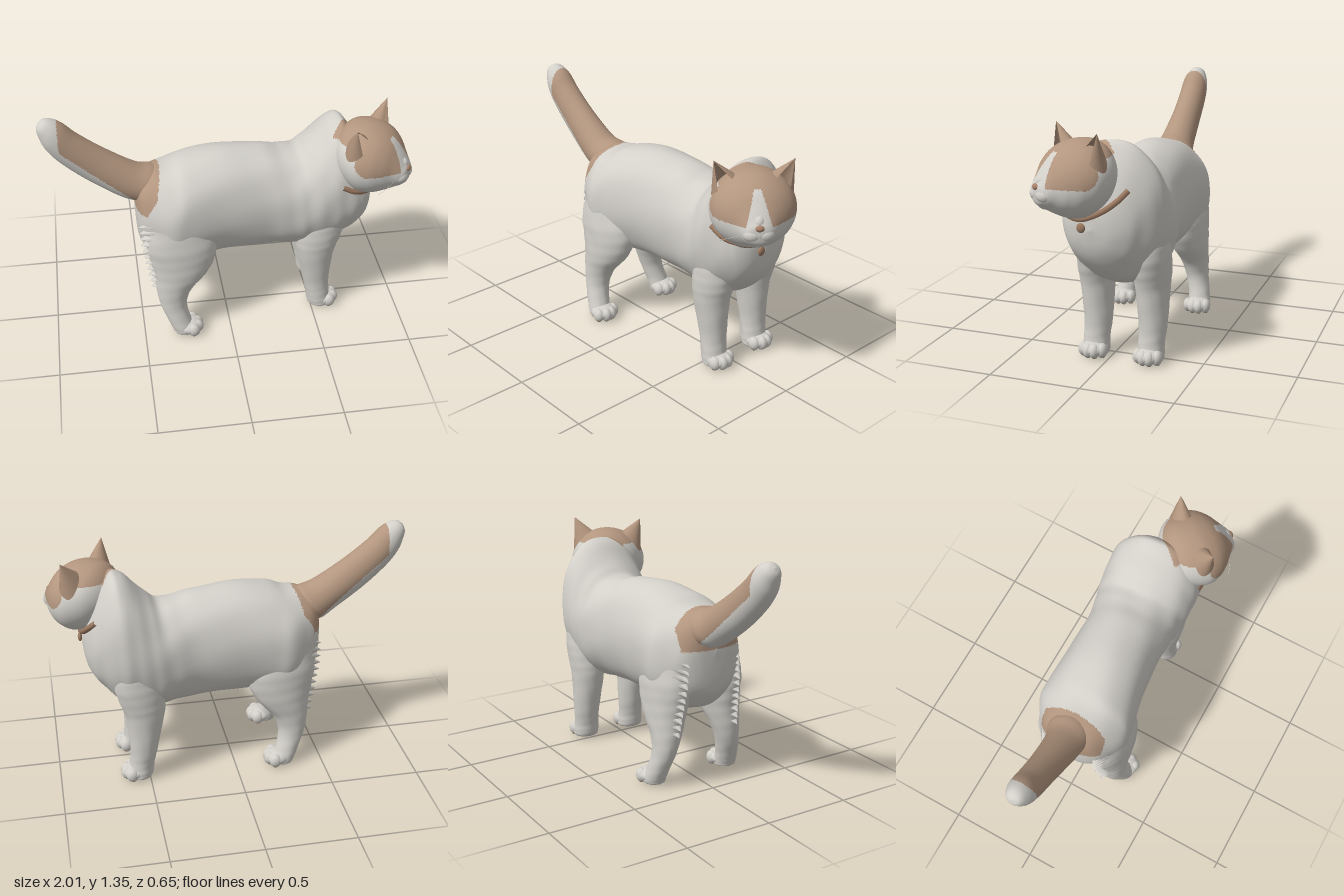
import * as THREE from 'three';

const mat = (name, color, side = THREE.FrontSide) => {
  const m = new THREE.MeshStandardMaterial({ color, side });
  m.name = name;
  return m;
};
const V = (x, y, z) => new THREE.Vector3(x, y, z);

// Smooth skin over elliptical sections [cx, cy, cz, ra, rb]; a x b is the direction of travel.
// patch(x, y, z) tells which faces take the second material.
function loft(stations, a, b, { rows = 90, cols = 72, power = 1, patch = null, bump = 0 } = {}) {
  const centres = new THREE.CatmullRomCurve3(stations.map(s => V(s[0], s[1], s[2])), false, 'catmullrom');
  const radii = new THREE.CatmullRomCurve3(stations.map(s => V(s[3], s[4], 0)), false, 'catmullrom');
  const pos = [], groups = [[], []];
  const bend = v => Math.sign(v) * Math.abs(v) ** power;
  for (let i = 0; i <= rows; i++) {
    const c = centres.getPoint(i / rows), r = radii.getPoint(i / rows);
    for (let j = 0; j < cols; j++) {
      const t = j / cols * Math.PI * 2;
      const k = 1 + bump * Math.sin(i / rows * 50 + 3 * t) * Math.sin(5 * t - i / rows * 25);
      const p = c.clone()
        .addScaledVector(a, Math.max(r.x, 0.0005) * bend(Math.cos(t)) * k)
        .addScaledVector(b, Math.max(r.y, 0.0005) * bend(Math.sin(t)) * k);
      pos.push(p.x, p.y, p.z);
    }
  }
  const mid = (f, k) => (pos[f[0] * 3 + k] + pos[f[1] * 3 + k] + pos[f[2] * 3 + k]) / 3;
  for (let i = 0; i < rows; i++) for (let j = 0; j < cols; j++) {
    const p = i * cols + j, q = i * cols + (j + 1) % cols;
    for (const f of [[p, q, p + cols], [q, q + cols, p + cols]]) {
      groups[patch && patch(mid(f, 0), mid(f, 1), mid(f, 2)) ? 1 : 0].push(...f);
    }
  }
  const g = new THREE.BufferGeometry();
  g.setAttribute('position', new THREE.Float32BufferAttribute(pos, 3));
  g.setIndex([...groups[0], ...groups[1]]);
  g.addGroup(0, groups[0].length, 0);
  g.addGroup(groups[0].length, groups[1].length, 1);
  g.computeVertexNormals();
  return g;
}

export function createModel() {
  const cat = new THREE.Group();
  cat.name = 'cat';
  const white = mat('white fur', 0xd3d0ca);
  const brown = mat('brown fur', 0xb3967f);
  const earBrown = mat('ear brown', 0xb0937c, THREE.DoubleSide);
  const nosePink = mat('nose and pads', 0xa88068);
  const collarBrown = mat('collar', 0x9c7a62);
  const coat = [white, brown];
  const X = V(1, 0, 0), Y = V(0, 1, 0), Z = V(0, 0, 1);

  const add = (parent, name, geo, material, x = 0, y = 0, z = 0) => {
    const m = new THREE.Mesh(geo, material);
    m.name = name;
    m.position.set(x, y, z);
    parent.add(m);
    return m;
  };
  const ball = (parent, name, material, x, y, z, rx, ry, rz) => {
    const m = add(parent, name, new THREE.SphereGeometry(1, 18, 12), material, x, y, z);
    m.scale.set(rx, ry, rz);
    return m;
  };

  // Torso and neck in one skin: x, top, bottom, back z, front z
  const torso = [
    [-0.51, 0.78, 0.78, 0, 0], [-0.5, 0.91, 0.6, -0.1, 0.1], [-0.47, 0.97, 0.52, -0.17, 0.17],
    [-0.4, 1.0, 0.45, -0.23, 0.22], [-0.3, 1.015, 0.42, -0.285, 0.265], [-0.2, 1.05, 0.43, -0.28, 0.25],
    [0, 1.07, 0.435, -0.275, 0.21], [0.2, 1.05, 0.43, -0.275, 0.19], [0.32, 1.025, 0.425, -0.295, 0.19],
    [0.4, 1.02, 0.415, -0.315, 0.195], [0.46, 1.06, 0.41, -0.325, 0.2], [0.53, 1.13, 0.42, -0.33, 0.21],
    [0.6, 1.195, 0.44, -0.328, 0.213], [0.66, 1.195, 0.475, -0.3, 0.21], [0.72, 1.11, 0.53, -0.245, 0.198],
    [0.77, 1.0, 0.59, -0.185, 0.168], [0.805, 0.88, 0.67, -0.1, 0.11], [0.82, 0.77, 0.77, 0.01, 0.01],
  ].map(([x, t, u, n, f]) => [x, (t + u) / 2, (n + f) / 2, (t - u) / 2, (f - n) / 2]);
  const rump = (x, y, z) => x < -0.365 - 0.5 * Math.max(0, 0.9 - y) - 0.8 * z * z && y > 0.8 && Math.abs(z) < 0.185;
  const nape = (x, y, z) => (x - 0.78) * 0.79 + (z - 0.08) * 0.61 > -0.165 && y > 1.145;
  add(cat, 'torso', loft(torso, Y, Z, {
    rows: 190, cols: 110, power: 0.94, bump: 0.01, patch: (x, y, z) => rump(x, y, z) || nape(x, y, z),
  }), coat);

  // Tail, white beneath and at the tip
  const tail = [
    [-0.42, 0.9, -0.01, 0.11, 0.12], [-0.47, 0.915, -0.01, 0.115, 0.117], [-0.55, 0.95, 0, 0.105, 0.1],
    [-0.71, 1.06, 0, 0.1, 0.085], [-0.84, 1.17, 0, 0.093, 0.08], [-0.91, 1.25, 0, 0.085, 0.075],
    [-0.95, 1.3, 0, 0.062, 0.058], [-0.975, 1.325, 0, 0.036, 0.036], [-0.985, 1.333, 0, 0, 0],
  ];
  add(cat, 'tail', loft(tail, V(0.6, 0.8, 0), V(0, 0, -1), {
    patch: (x, y) => x > -0.5 || (x > -0.89 && 0.6 * x + 0.8 * y > 0.395 - 0.1 * (x + 0.7)),
  }), coat);

  // Legs: y, x, z, half depth, half width
  const foreLeg = [
    [0.7, 0.555, 0.085, 0.11, 0.09], [0.6, 0.54, 0.087, 0.135, 0.1], [0.5, 0.525, 0.09, 0.127, 0.1],
    [0.4, 0.515, 0.09, 0.108, 0.092], [0.2, 0.527, 0.085, 0.078, 0.076], [0.1, 0.54, 0.09, 0.07, 0.072],
    [0.04, 0.55, 0.09, 0.072, 0.074], [0.012, 0.555, 0.09, 0.06, 0.065], [0.01, 0.555, 0.09, 0, 0],
  ];
  const hindLeg = [
    [0.72, -0.285, 0.155, 0.16, 0.1], [0.6, -0.27, 0.165, 0.193, 0.11],
    [0.5, -0.265, 0.168, 0.185, 0.11], [0.4, -0.28, 0.178, 0.15, 0.1], [0.3, -0.32, 0.192, 0.102, 0.08],
    [0.2, -0.328, 0.208, 0.076, 0.065], [0.1, -0.3, 0.228, 0.066, 0.062], [0.04, -0.275, 0.236, 0.066, 0.064],
    [0.012, -0.27, 0.236, 0.055, 0.055], [0.01, -0.27, 0.236, 0, 0],
  ];
  const buildLeg = (name, sections, place) => {
    const leg = new THREE.Group();
    leg.name = name;
    cat.add(leg);
    const st = sections.map(([y, x, z, rx, rz]) => [x, y, place(z), rx, rz]);
    add(leg, 'limb', loft(st, X, Z, { rows: 50, cols: 36, bump: 0.015 }), white);
    const [fx, , fz] = st[st.length - 1];
    // Rounded paw with four soft toes and pads underneath
    ball(leg, 'paw', white, fx + 0.03, 0.046, fz, 0.076, 0.044, 0.077);
    ball(leg, 'mainPad', nosePink, fx + 0.02, 0.007, fz, 0.03, 0.006, 0.035);
    for (let i = 0; i < 4; i++) {
      const s = i - 1.5, tx = fx + 0.075 - 0.012 * s * s;
      ball(leg, 'toe', white, tx, 0.043, fz + s * 0.035, 0.036, 0.04, 0.029);
      ball(leg, 'toePad', nosePink, tx, 0.007, fz + s * 0.036, 0.015, 0.006, 0.013);
    }
    return leg;
  };
  buildLeg('rightForeleg', foreLeg, z => z);
  buildLeg('leftForeleg', foreLeg, z => z - 0.31);
  for (const side of [1, -1]) {
    const leg = buildLeg(side > 0 ? 'rightHindLeg' : 'leftHindLeg', hindLeg, z => side * z);
    // Fur tufts down the back of the thigh
    for (let i = 0; i < 11; i++) {
      const tuft = add(leg, 'furTuft', new THREE.ConeGeometry(0.03, 0.08, 8), white,
        -0.415 - 0.045 * Math.min(1, i / 7), 0.33 + i * 0.04, side * (0.19 - 0.003 * i));
      tuft.rotation.z = 1.85;
      tuft.scale.z = 1.8;
    }
  }

  // Head, turned towards the front
  const head = new THREE.Group();
  head.name = 'head';
  head.position.set(0.78, 1.05, 0.08);
  head.rotation.y = -0.65;
  cat.add(head);
  const skull = [
    [-0.19, 0, 0, 0, 0], [-0.165, 0.01, 0, 0.09, 0.1], [-0.1, 0, 0, 0.165, 0.18],
    [0, -0.02, 0, 0.196, 0.22], [0.08, -0.028, 0, 0.182, 0.205], [0.14, -0.035, 0, 0.148, 0.162],
    [0.185, -0.05, 0, 0.107, 0.112], [0.22, -0.066, 0, 0.07, 0.078], [0.24, -0.07, 0, 0.043, 0.05],
    [0.247, -0.07, 0, 0, 0],
  ];
  add(head, 'skull', loft(skull, Y, Z, {
    rows: 130, cols: 120,
    patch: (x, y, z) => {
      const blaze = x > 0 && y < 0.125 && Math.abs(z) < 0.018 + 0.3 * (0.125 - y);
      const corner = Math.max(0, 0.08 - x);
      return !blaze && (y > 0.1 || (x > 0.01 && y > -0.035 + 12 * corner * corner));
    },
  }), coat);
  ball(head, 'chin', white, 0.175, -0.115, 0, 0.055, 0.042, 0.06);
  ball(head, 'bridge', white, 0.19, -0.015, 0, 0.045, 0.04, 0.036);
  ball(head, 'nose', nosePink, 0.235, -0.034, 0, 0.018, 0.017, 0.024);
  for (const s of [1, -1]) {
    ball(head, 'muzzle', white, 0.203, -0.075, s * 0.03, 0.047, 0.042, 0.053);
    // Hollow ear, open towards the face
    const ear = add(head, 'ear', new THREE.ConeGeometry(0.1, 0.19, 28, 6, true, Math.PI / 2 + 0.7, Math.PI * 2 - 1.4),
      earBrown, 0, 0.15, s * 0.16);
    ear.scale.x = 0.8;
    ear.rotation.set(s * 0.46, 0, -0.1);
  }
  const whiskerPath = new THREE.QuadraticBezierCurve3(V(0.2, -0.08, 0.08), V(0.19, -0.1, 0.13), V(0.15, -0.13, 0.18));
  add(head, 'whisker', new THREE.TubeGeometry(whiskerPath, 8, 0.0012, 5), white);

  // Collar round the throat, rising on both sides, with a small pendant
  const collarPath = new THREE.CatmullRomCurve3([
    V(0.62, 0.905, 0.205), V(0.7, 0.865, 0.198), V(0.785, 0.835, 0.138), V(0.82, 0.83, 0.05),
    V(0.81, 0.87, -0.05), V(0.785, 0.925, -0.125), V(0.745, 0.975, -0.17),
  ]);
  add(cat, 'collar', new THREE.TubeGeometry(collarPath, 60, 0.016, 8), collarBrown);
  ball(cat, 'pendant', collarBrown, 0.828, 0.785, 0.052, 0.012, 0.026, 0.023);
  return cat;
}
